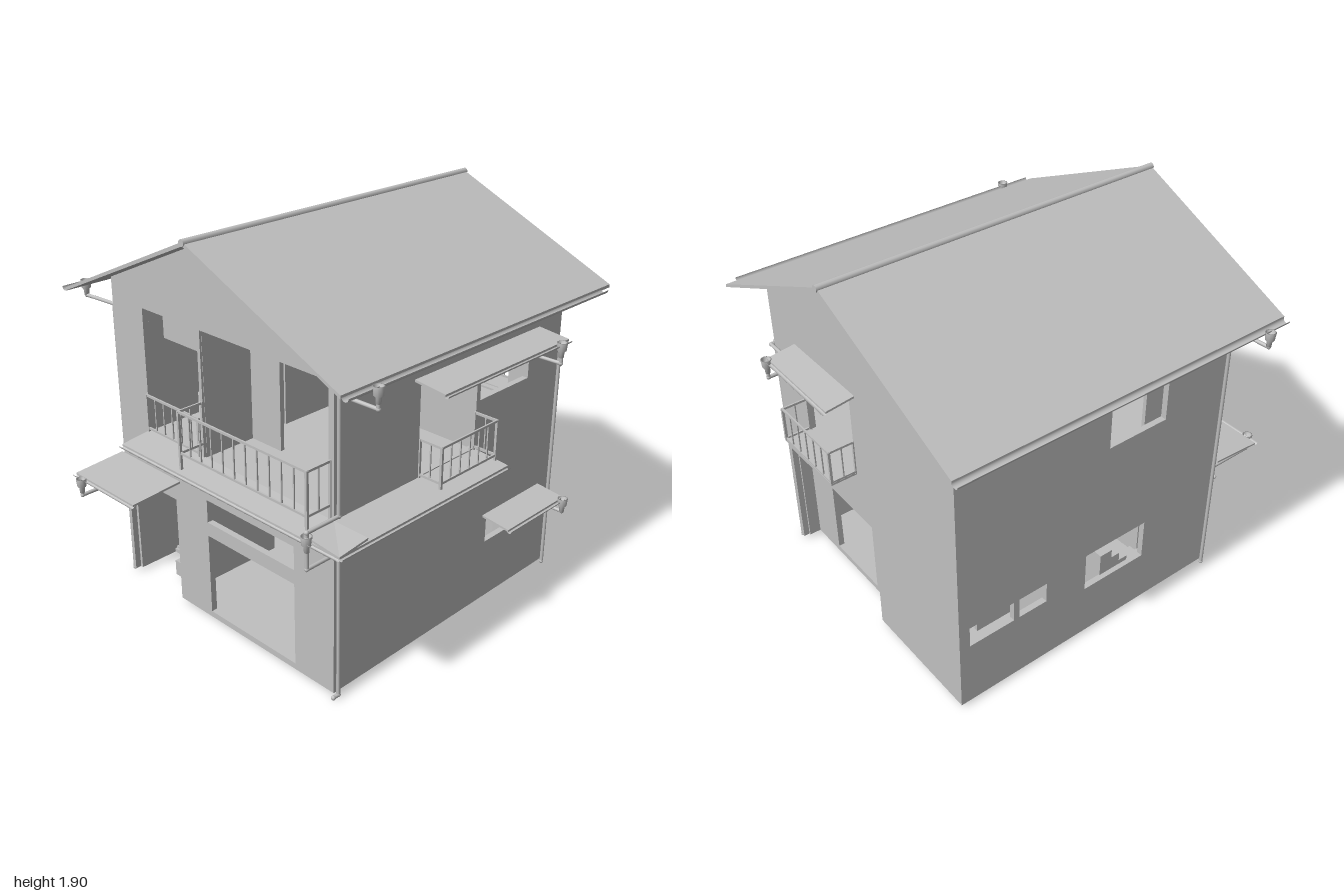
import * as THREE from 'three';

export function createModel() {
  const house = new THREE.Group();
  house.name = 'house';
  const plaster = new THREE.MeshStandardMaterial({ color: 0xc0c0c0, side: THREE.DoubleSide });
  plaster.name = 'plain grey';

  const add = (name, geo, parent = house) => {
    const m = new THREE.Mesh(geo, plaster);
    m.name = name;
    parent.add(m);
    return m;
  };
  const group = (name) => {
    const g = new THREE.Group();
    g.name = name;
    house.add(g);
    return g;
  };
  // box from min/max ranges
  const box = (name, x0, x1, y0, y1, z0, z1, parent) => add(name,
    new THREE.BoxGeometry(x1 - x0, y1 - y0, z1 - z0)
      .translate((x0 + x1) / 2, (y0 + y1) / 2, (z0 + z1) / 2), parent);
  const rect = ([a, b, c, d]) => [[a, c], [b, c], [b, d], [a, d]];
  const slab = (pts, holes, depth) => {
    const s = new THREE.Shape(pts.map((p) => new THREE.Vector2(...p)));
    for (const h of holes) s.holes.push(new THREE.Path(rect(h).map((p) => new THREE.Vector2(...p))));
    return new THREE.ExtrudeGeometry(s, { depth, bevelEnabled: false });
  };
  // walls facing z (outline in x,y) and facing x (outline in z,y); holes are [u0,u1,y0,y1]
  const wallZ = (name, pts, holes, z, t = 0.03) => add(name, slab(pts, holes, t).translate(0, 0, z));
  const wallX = (name, pts, holes, x, t = 0.03) =>
    add(name, slab(pts, holes, t).rotateY(-Math.PI / 2).translate(x + t, 0, 0));

  const W = 0.705, F = 0.69, B = -0.825, BASE = 0.02, EAVE = 1.556, TOP = 1.87;

  // outer walls
  wallZ('frontWall',
    [[-W, BASE], [-0.69, BASE], [-0.69, 0.56], [-0.32, 0.56], [-0.32, BASE], [W, BASE], [W, EAVE], [0, TOP], [-W, EAVE]],
    [[-0.095, 0.47, 0.05, 0.46], [-0.095, 0.47, 0.53, 0.645], [-0.485, -0.108, 0.86, 1.46], [-0.09, 0.675, 0.86, 1.46]],
    F - 0.03);
  wallZ('backWall',
    [[-W, BASE], [-0.06, BASE], [-0.06, 0.61], [0.685, 0.61], [0.685, BASE], [W, BASE], [W, EAVE], [0, TOP], [-W, EAVE]],
    [[0.05, 0.45, 0.87, 1.29]], B);
  const side = rect([B + 0.03, F - 0.03, BASE, EAVE]);
  wallX('rightHandWall', side,
    [[-0.205, 0.18, 0.87, 1.29], [-0.585, -0.23, 1.095, 1.285], [-0.685, -0.33, 0.33, 0.455]], W - 0.03);
  wallX('leftHandWall', side,
    [[-0.01, 0.32, 1.08, 1.31], [-0.115, 0.245, 0.3, 0.51], [-0.77, -0.53, 0.37, 0.48], [-0.5, -0.345, 0.37, 0.48]], -W);

  // floors and ceiling
  const ground = [[-W + 0.01, B + 0.01], [-0.06, B + 0.01], [-0.06, -0.72], [W - 0.01, -0.72],
    [W - 0.01, F - 0.01], [-0.32, F - 0.01], [-0.32, 0.44], [-W + 0.01, 0.44]];
  add('groundFloor', slab(ground, [], 0.015).rotateX(Math.PI / 2).translate(0, 0.05, 0));
  box('upperFloor', -W + 0.01, W - 0.01, 0.835, 0.86, B + 0.01, F - 0.01);
  box('ceiling', -W + 0.01, W - 0.01, 1.46, 1.475, B + 0.01, F - 0.01);

  // recessed back porch
  wallZ('backPorchWall', rect([-0.06, 0.685, BASE, 0.62]), [[0.12, 0.48, 0.05, 0.46]], -0.735);
  box('backPorchSoffit', -0.08, 0.69, 0.61, 0.625, B + 0.01, -0.71);
  box('backPorchSide', -0.08, -0.06, BASE, 0.61, B + 0.01, -0.71);

  // front entrance porch with stairs
  wallZ('entranceWall', rect([-0.69, -0.32, BASE, 0.57]), [[-0.68, -0.505, 0.04, 0.42]], 0.42);
  box('entranceSide', -0.32, -0.3, BASE, 0.57, 0.42, F - 0.02);
  box('entranceSoffit', -0.69, -0.3, 0.56, 0.575, 0.42, F - 0.02);
  box('entranceStep', -0.505, -0.32, BASE, 0.1, 0.45, 0.58);
  const stairs = group('stairs');
  for (let i = 0; i < 8; i++) {
    box('step', -0.68, -0.505, 0.04, 0.09 + i * 0.047, 0.4 - (i + 1) * 0.05, 0.42 - i * 0.05, stairs);
  }

  // loggia and inner walls
  box('loggiaPartition', -0.108, -0.088, 0.86, 1.46, 0.4, F - 0.01);
  box('loggiaLeftSide', -0.505, -0.485, 0.86, 1.46, 0.4, F - 0.01);
  box('loggiaLeftLintel', -0.485, -0.108, 1.29, 1.46, 0.56, 0.58);
  wallZ('loggiaBackWall', [[-0.09, 0.86], [0.1, 0.86], [0.1, 1.29], [0.68, 1.29], [0.68, 1.46], [-0.09, 1.46]], [], 0.39, 0.02);
  box('upperCrossWall', -0.69, 0.69, 0.86, 1.46, -0.225, -0.207);
  box('upperInnerWall', -0.11, -0.09, 0.86, 1.46, -0.21, 0.2);
  box('cupboardWall', -0.3, -0.1, 0.86, 1.46, 0.2, 0.22);
  box('washroomWall', -0.42, -0.4, BASE, 0.835, -0.525, -0.3);
  box('washroomCrossWall', -0.69, -0.42, BASE, 0.835, -0.32, -0.3);
  box('hallWall', -0.32, -0.3, BASE, 0.835, 0.1, 0.42);
  box('kitchenWallStub', 0.55, 0.69, BASE, 0.835, 0, 0.02);

  // roof
  add('roof', slab([[-0.868, 1.485], [0, TOP], [0.868, 1.485], [0.868, 1.5], [0, 1.888], [-0.868, 1.5]], [], 1.77)
    .translate(0, 0, -0.945));
  add('ridgeCap', new THREE.CylinderGeometry(0.016, 0.016, 1.78, 10).rotateX(Math.PI / 2).translate(0, 1.884, -0.06));

  // half-round gutters, open at the top
  const gutter = (axis, a, b, u, y, r = 0.014) => {
    const g = new THREE.CylinderGeometry(r, r, b - a, 10, 1, true, -Math.PI / 2, Math.PI).rotateX(Math.PI / 2);
    g.rotateZ(0);
    if (axis === 'x') g.rotateY(Math.PI / 2).translate((a + b) / 2, y, u);
    else g.translate(u, y, (a + b) / 2);
    add('gutter', g);
  };
  gutter('z', -0.945, 0.82, -0.888, 1.495, 0.018);
  gutter('z', -0.88, 0.82, 0.885, 1.495, 0.018);

  // sloping canopy along a wall: axis of its length, range, wall position, outer position, wall height
  const canopy = (name, axis, a, b, wall, outer, y) => {
    const prof = [[wall, y], [outer, y - 0.018], [outer, y - 0.008], [wall, y + 0.01]];
    const g = slab(prof, [], b - a);
    if (axis === 'x') g.rotateY(-Math.PI / 2).translate(b, 0, 0);
    else g.translate(0, 0, a);
    add(name, g);
    gutter(axis, a, b, outer + Math.sign(outer) * 0.005, y - 0.012, 0.013);
  };
  canopy('entranceCanopy', 'x', -0.728, -0.285, F, 0.955, 0.658);
  canopy('sideUpperCanopy', 'z', -0.65, 0.22, W, 0.865, 1.32);
  canopy('sideLowerCanopy', 'z', -0.74, -0.3, W, 0.855, 0.475);
  canopy('backCanopy', 'x', 0, 0.5, B, -0.965, 1.31);
  canopy('frontLedge', 'x', -0.485, 0.89, F, 0.85, 0.855);
  canopy('sideLedge', 'z', -0.21, 0.85, W, 0.89, 0.855);

  // railing run between two floor points
  const railing = (parent, x0, z0, x1, z1, yBase, yLow, yTop, n) => {
    const bar = 0.008, lx = Math.abs(x1 - x0) / 2 + bar / 2, lz = Math.abs(z1 - z0) / 2 + bar / 2;
    const cx = (x0 + x1) / 2, cz = (z0 + z1) / 2;
    for (const y of [yLow, yTop]) {
      box('rail', cx - lx, cx + lx, y - 0.011, y, cz - lz, cz + lz, parent);
    }
    for (let i = 0; i <= n; i++) {
      const end = i === 0 || i === n, r = end ? 0.006 : 0.003;
      const x = x0 + (x1 - x0) * i / n, z = z0 + (z1 - z0) * i / n;
      box(end ? 'post' : 'baluster', x - r, x + r, end ? yBase : yLow - 0.005, yTop - 0.002, z - r, z + r, parent);
    }
  };
  railing(group('frontLeftRailing'), -0.48, 0.7, -0.115, 0.7, 0.86, 0.885, 1.05, 6);
  const wide = group('frontBalcony');
  railing(wide, -0.095, 0.82, 0.685, 0.82, 0.84, 0.935, 1.13, 11);
  for (const x of [-0.095, 0.685]) railing(wide, x, F, x, 0.82, 0.84, 0.935, 1.13, 2);
  const sideBalcony = group('sideBalcony');
  railing(sideBalcony, 0.825, -0.2, 0.825, 0.175, 0.85, 0.885, 1.05, 6);
  for (const z of [-0.2, 0.175]) railing(sideBalcony, W, z, 0.825, z, 0.85, 0.885, 1.05, 2);
  const backBalcony = group('backBalcony');
  railing(backBalcony, 0.05, -0.95, 0.45, -0.95, 0.87, 0.885, 1.05, 6);
  for (const x of [0.05, 0.45]) railing(backBalcony, x, B, x, -0.95, 0.87, 0.885, 1.05, 2);
  box('balconyBase', 0.045, 0.455, 0.865, 0.875, -0.955, B, backBalcony);

  // drain pipes: straight runs with round elbows
  const pipe = (pts) => {
    const g = group('drainPipe');
    pts.forEach((p, i) => {
      const b = new THREE.Vector3(...p);
      add('elbow', new THREE.SphereGeometry(0.011, 8, 6).translate(...p), g);
      if (!i) return;
      const a = new THREE.Vector3(...pts[i - 1]), d = b.clone().sub(a);
      const run = add('pipeRun', new THREE.CylinderGeometry(0.009, 0.009, d.length(), 8), g);
      run.position.copy(a).add(b).multiplyScalar(0.5);
      run.quaternion.setFromUnitVectors(new THREE.Vector3(0, 1, 0), d.normalize());
    });
  };
  const hopper = (x, y, z) => add('rainHopper', new THREE.LatheGeometry(
    [[0, -0.042], [0.011, -0.042], [0.013, -0.015], [0.021, -0.008], [0.025, 0.03], [0.02, 0.03], [0.016, 0], [0, 0]]
      .map((p) => new THREE.Vector2(...p)), 12).translate(x, y, z));
  const PX = 0.718;
  hopper(-0.912, 1.465, 0.69);
  pipe([[-0.912, 1.45, 0.69], [-0.912, 1.42, 0.69], [-PX, 1.42, 0.675], [-PX, 0.011, 0.675]]);
  hopper(0.912, 1.475, 0.67);
  pipe([[0.912, 1.46, 0.67], [0.912, 1.41, 0.67], [PX, 1.41, 0.675], [PX, 0.885, 0.675], [PX, 0.885, 0.855], [PX, 0.86, 0.855]]);
  hopper(PX, 0.84, 0.855);
  pipe([[PX, 0.82, 0.855], [PX, 0.72, 0.855], [PX, 0.72, 0.675], [PX, 0.011, 0.675], [PX, 0.011, 0.705]]);
  hopper(-0.66, 0.62, 0.974);
  pipe([[-0.66, 0.6, 0.974], [-0.66, 0.565, 0.974], [-0.66, 0.565, 0.705], [-PX, 0.565, 0.69]]);
  hopper(0.88, 1.29, -0.575);
  pipe([[0.88, 1.27, -0.575], [0.88, 1.22, -0.575], [PX, 1.22, -0.575], [PX, 1.22, -0.815], [PX, 0.011, -0.815]]);
  hopper(0.49, 1.275, -0.974);
  pipe([[0.49, 1.25, -0.974], [0.49, 1.21, -0.974], [0.49, 1.21, -0.837], [PX, 1.21, -0.837], [PX, 1.21, -0.815]]);
  hopper(0.87, 0.445, -0.715);
  pipe([[0.87, 0.43, -0.715], [0.87, 0.405, -0.715], [PX, 0.405, -0.715], [PX, 0.405, -0.815]]);

  return house;
}
